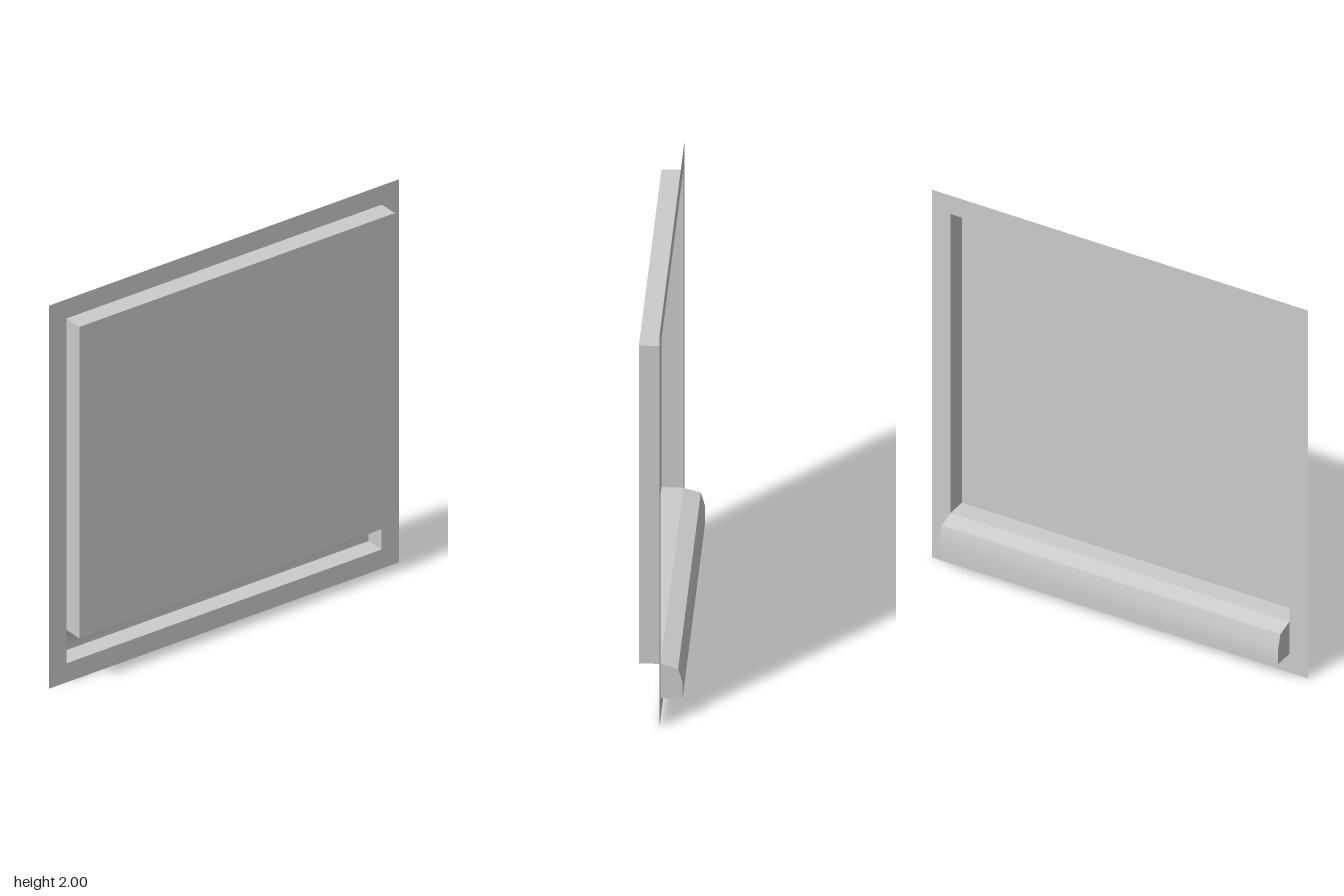
import * as THREE from 'three';
import { toCreasedNormals } from 'three/addons/utils/BufferGeometryUtils.js';

const HALF = 0.9; // half width of the opening
const material = new THREE.MeshStandardMaterial({ color: 0xcccccc, side: THREE.DoubleSide });

// Sweeps an open, counter-clockwise convex [x, y] profile along z and closes both ends;
// the side between the last and the first point stays open.
function openTray(profile) {
  const pos = [];
  const put = (p, z) => pos.push(p[0], p[1], z);
  for (let i = 0; i < profile.length - 1; i++) {
    const a = profile[i], b = profile[i + 1];
    put(a, -HALF); put(b, -HALF); put(b, HALF);
    put(a, -HALF); put(b, HALF); put(a, HALF);
    if (i > 0) {
      put(profile[0], HALF); put(a, HALF); put(b, HALF);
      put(profile[0], -HALF); put(b, -HALF); put(a, -HALF);
    }
  }
  const geometry = new THREE.BufferGeometry();
  geometry.setAttribute('position', new THREE.Float32BufferAttribute(pos, 3));
  return toCreasedNormals(geometry, Math.PI / 6);
}

// Rectangle outline in the plane of the frame
function rectangle(PathType, half, bottom, top) {
  return new PathType([[-half, bottom], [half, bottom], [half, top], [-half, top]]
    .map(([x, y]) => new THREE.Vector2(x, y)));
}

export function createModel() {
  const group = new THREE.Group();
  const add = (name, geometry) => {
    const mesh = new THREE.Mesh(geometry, material);
    mesh.name = name;
    group.add(mesh);
  };

  // Flat, thin surround with a square opening, facing +x
  const outline = rectangle(THREE.Shape, 1, 0, 2);
  outline.holes.push(rectangle(THREE.Path, HALF, 0.1, 1.9));
  add('frame', new THREE.ShapeGeometry(outline).rotateY(Math.PI / 2));

  // Raised panel, hollow from behind
  add('panel', openTray([[0, 0.275], [0.1, 0.275], [0.1, 1.9], [0, 1.9]]));

  // Rounded hollow ledge on the other side, open towards the opening
  add('ledge', openTray([[0, 0.275], [-0.08, 0.252], [-0.1, 0.183], [-0.1, 0.1], [0, 0.1]]));

  return group;
}
